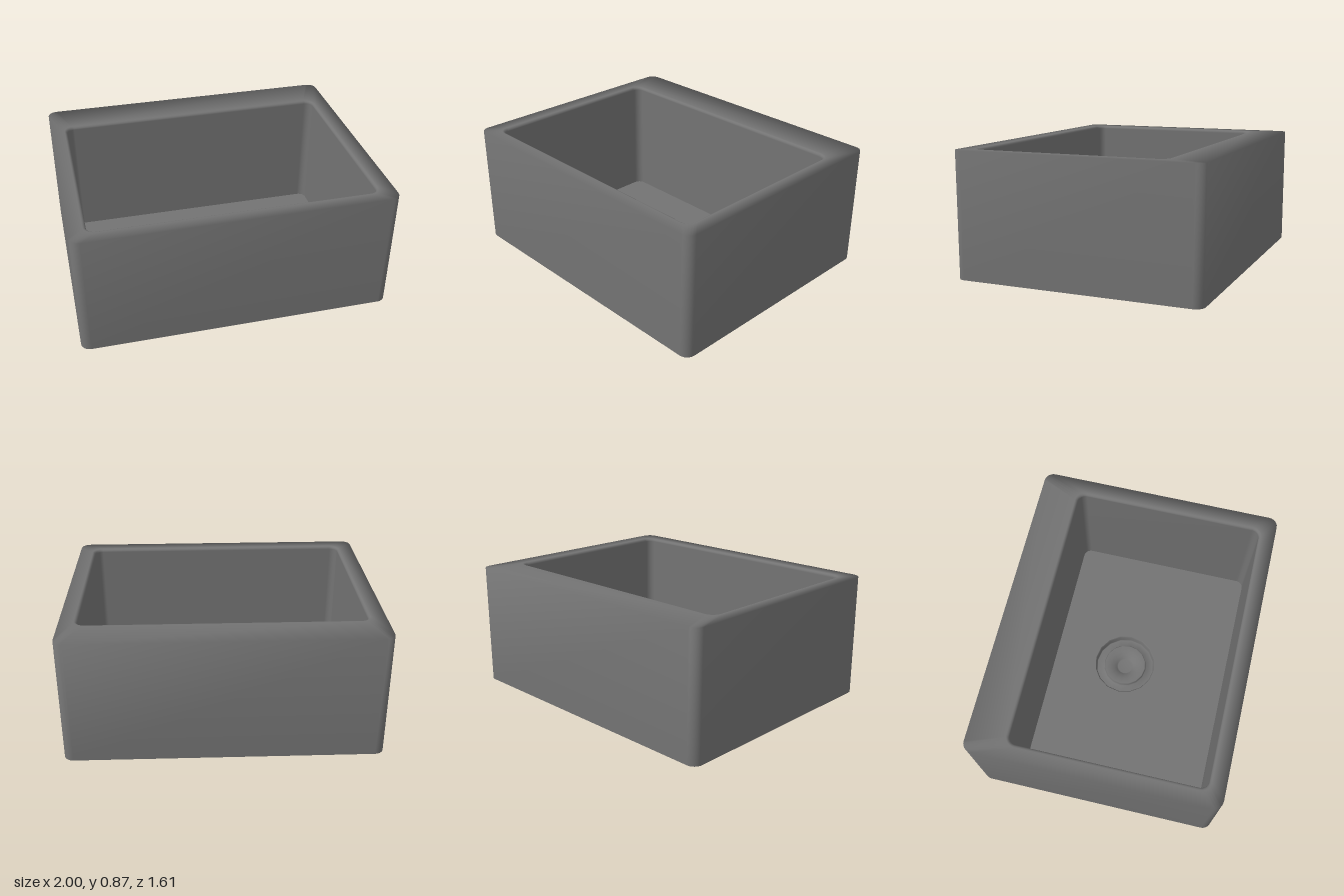
import * as THREE from 'three';

const DRAIN = { x: 0.04, z: -0.03, r: 0.218, sides: 16 };
const FLOOR_Y = 0.06;
const TOP_Y = 0.87;

const material = new THREE.MeshStandardMaterial({ color: 0x737373, side: THREE.DoubleSide });

// Rounded rectangle as [x, z] points, grown outwards by "grow"
function roundedRect({ x0, x1, z0, z1, r }, grow = 0, steps = 6) {
  const points = [];
  const corners = [[x1 - r, z1 - r], [x0 + r, z1 - r], [x0 + r, z0 + r], [x1 - r, z0 + r]];
  corners.forEach(([cx, cz], k) => {
    for (let i = 0; i <= steps; i++) {
      const a = (k + i / steps) * Math.PI / 2;
      points.push([cx + (r + grow) * Math.cos(a), cz + (r + grow) * Math.sin(a)]);
    }
  });
  return points;
}

// Skin through closed loops of equal point count
function loft(loops) {
  const n = loops[0].points.length;
  const positions = [];
  const index = [];
  loops.forEach(({ points, y }) => points.forEach(([x, z]) => positions.push(x, y, z)));
  for (let i = 0; i < loops.length - 1; i++) {
    for (let j = 0; j < n; j++) {
      const a = i * n + j;
      const b = i * n + (j + 1) % n;
      index.push(a, a + n, b, b, a + n, b + n);
    }
  }
  const geometry = new THREE.BufferGeometry();
  geometry.setAttribute('position', new THREE.Float32BufferAttribute(positions, 3));
  geometry.setIndex(index);
  geometry.computeVertexNormals();
  return geometry;
}

function addMesh(parent, name, geometry) {
  const mesh = new THREE.Mesh(geometry, material);
  mesh.name = name;
  parent.add(mesh);
  return mesh;
}

export function createModel() {
  const sink = new THREE.Group();
  sink.name = 'sink';

  const outer = { x0: -1, x1: 1, z0: -0.805, z1: 0.805, r: 0.06 };
  const basin = { x0: -0.89, x1: 0.89, z0: -0.545, z1: 0.7, r: 0.05 };
  const basinBottom = { x0: -0.885, x1: 0.885, z0: -0.54, z1: 0.695, r: 0.05 };

  // Outer walls, flat rim, softened lip and basin walls in one skin, open below
  const lip = 0.02;
  const loops = [
    { points: roundedRect(outer), y: FLOOR_Y },
    { points: roundedRect(outer), y: TOP_Y },
  ];
  for (let i = 0; i <= 4; i++) {
    const a = i / 4 * Math.PI / 2;
    loops.push({
      points: roundedRect(basin, lip * (1 - Math.sin(a))),
      y: TOP_Y - lip * (1 - Math.cos(a)),
    });
  }
  loops.push({ points: roundedRect(basinBottom), y: FLOOR_Y });
  addMesh(sink, 'wallsAndRim', loft(loops));

  // Basin floor with the drain hole
  const floor = new THREE.Shape(roundedRect(basinBottom).map(([x, z]) => new THREE.Vector2(x, -z)));
  const hole = [];
  for (let i = 0; i < DRAIN.sides; i++) {
    const a = i / DRAIN.sides * Math.PI * 2;
    hole.push(new THREE.Vector2(DRAIN.x + DRAIN.r * Math.sin(a), -DRAIN.z - DRAIN.r * Math.cos(a)));
  }
  floor.holes.push(new THREE.Path(hole));
  const floorMesh = addMesh(sink, 'basinFloor', new THREE.ShapeGeometry(floor).rotateX(-Math.PI / 2));
  floorMesh.position.y = FLOOR_Y;

  // Drain: flared cup, raised strainer bowl and centre knob
  const profile = [
    [0, 0], [0.052, 0], [0.06, 0.008], [0.08, 0.024], [0.11, 0.036], [0.146, 0.042],
    [0.152, 0.036], [0.154, 0.006], [0.206, 0.005], [0.21, 0.01], [0.211, 0.05], [DRAIN.r, FLOOR_Y],
  ].map(([r, y]) => new THREE.Vector2(r, y));
  const drain = addMesh(sink, 'drain', new THREE.LatheGeometry(profile, DRAIN.sides));
  drain.position.set(DRAIN.x, 0, DRAIN.z);

  return sink;
}
